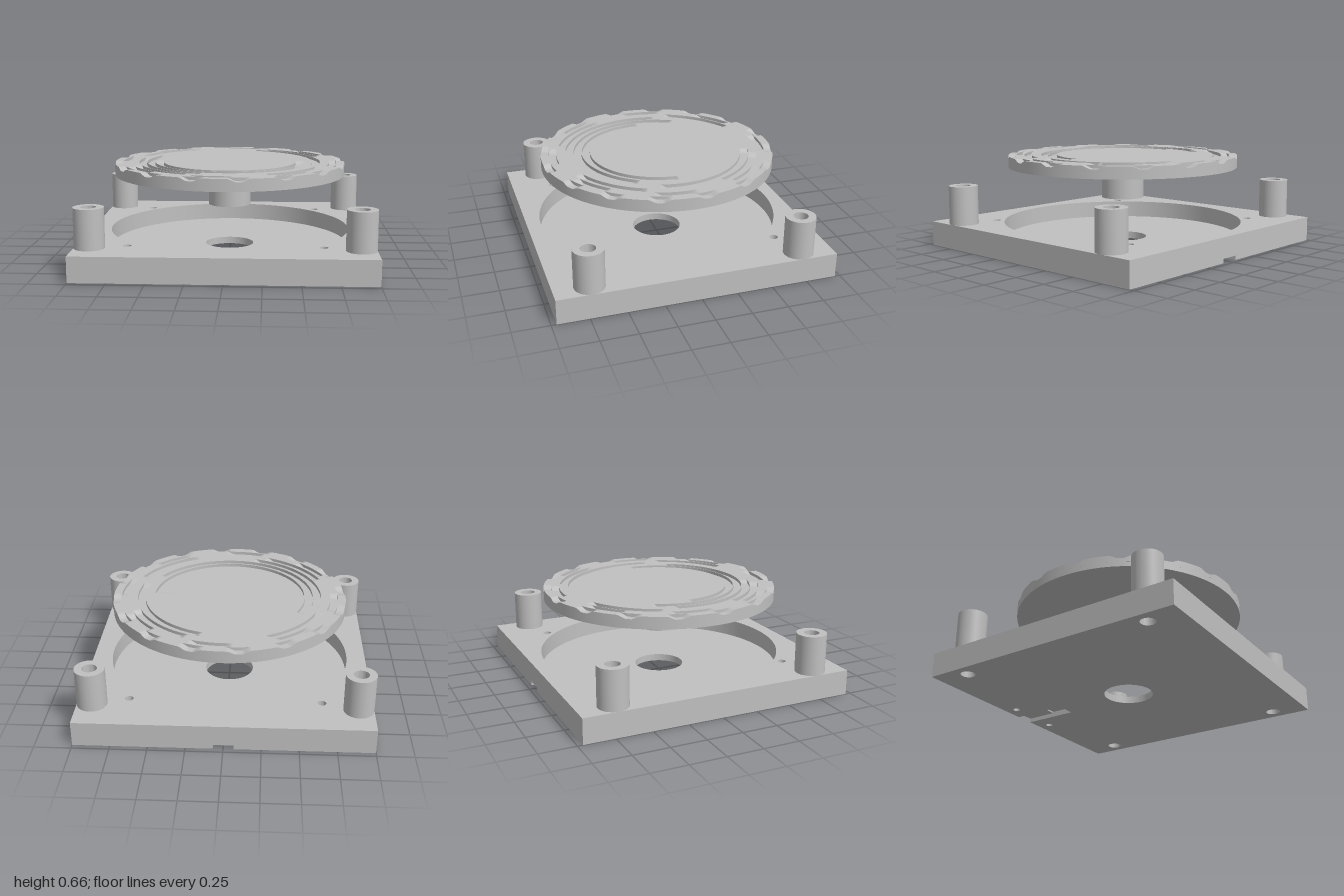
import * as THREE from 'three';
import { toCreasedNormals } from 'three/addons/utils/BufferGeometryUtils.js';

const HALF_Z = 0.965, DISC_R = 0.83, DISC_TOP = 0.66, DISC_MID = 0.612, DISC_BOTTOM = 0.575;
const GROOVE = 0.022, RAMP = 4.5;
const corners = [[1, 1], [1, -1], [-1, 1], [-1, -1]];
const sensorHoles = [[0.2, -0.877, 0.026], [-0.2, -0.877, 0.026]];
const boltHoles = corners.map(([x, z]) => [x * 0.897, z * 0.725, 0.051]);
const pilotHoles = corners.map(([x, z]) => [x * 0.655, z * 0.655, 0.029]);

// Coded tracks: inner radius, outer radius, first groove angle, groove length, groove count
const tracks = [
  [0.48, 0.535, 0, 180, 1],
  [0.54, 0.595, 29, 180, 1],
  [0.60, 0.655, 15 - 90, 90, 2],
  [0.66, 0.715, 22, 45, 4],
  [0.72, 0.772, -4, 22.5, 8],
  [0.778, DISC_R, -80, 11.25, 16],
];

// Extrude an outline (drawn with y = -z) upward from y0 to y1, with round holes [x, z, r]
function slab(shape, y0, y1, holes = []) {
  for (const [x, z, r] of holes) {
    const p = new THREE.Path();
    p.absarc(x, -z, r, 0, Math.PI * 2, true);
    shape.holes.push(p);
  }
  const g = new THREE.ExtrudeGeometry(shape, { depth: y1 - y0, bevelEnabled: false, curveSegments: 64 });
  g.rotateX(-Math.PI / 2).translate(0, y0, 0);
  return toCreasedNormals(g, 0.5);
}

const polygon = (pts) => new THREE.Shape(pts.map(([x, y]) => new THREE.Vector2(x, y)));
const plate = () => polygon([[-1, -HALF_Z], [1, -HALF_Z], [1, HALF_Z], [-1, HALF_Z]]);
const circle = (r) => new THREE.Shape().absarc(0, 0, r, 0, Math.PI * 2, false);

// Height of a track's floor at an angle in degrees, with smooth ramps at the groove ends
function trackHeight([, , start, length, count], deg) {
  const pitch = 360 / count;
  const t = (((deg - start) % pitch) + pitch) % pitch;
  if (t >= length) return DISC_TOP;
  const k = Math.min(1, Math.min(t, length - t) / RAMP);
  return DISC_TOP - GROOVE * k * k * (3 - 2 * k);
}

// Sweep a stepped radial cross-section around the axis
function codedTop() {
  const steps = 480, rows = [], pos = [];
  for (let i = 0; i <= steps; i++) {
    const deg = (i % steps) * 360 / steps, a = deg * Math.PI / 180;
    const profile = [[0, DISC_TOP]];
    for (const track of tracks) {
      const h = trackHeight(track, deg);
      profile.push([track[0], DISC_TOP], [track[0], h], [track[1], h]);
      if (track[1] < DISC_R) profile.push([track[1], DISC_TOP]);
    }
    profile.push([DISC_R, DISC_MID], [0, DISC_MID]);
    rows.push(profile.map(([r, y]) => new THREE.Vector3(r * Math.cos(a), y, r * Math.sin(a))));
  }
  const tri = (a, b, c) => {
    if (a.distanceTo(b) < 1e-6 || b.distanceTo(c) < 1e-6 || a.distanceTo(c) < 1e-6) return;
    for (const v of [a, b, c]) pos.push(v.x, v.y, v.z);
  };
  for (let i = 0; i < steps; i++) {
    for (let j = 0; j < rows[0].length - 1; j++) {
      const a = rows[i][j], b = rows[i][j + 1], c = rows[i + 1][j + 1], d = rows[i + 1][j];
      tri(a, c, b);
      tri(a, d, c);
    }
  }
  const g = new THREE.BufferGeometry();
  g.setAttribute('position', new THREE.Float32BufferAttribute(pos, 3));
  return toCreasedNormals(g, 0.5);
}

export function createModel() {
  const model = new THREE.Group();
  const grey = new THREE.MeshStandardMaterial({ color: 0xc0c0c0 });
  grey.name = 'grey';
  const add = (name, geometry, parent = model) => {
    const m = new THREE.Mesh(geometry, grey);
    m.name = name;
    parent.add(m);
    return m;
  };

  // Base plate in layers: cable slot, sensor recess, floor, and pocket wall
  const base = new THREE.Group();
  base.name = 'base';
  model.add(base);
  const centreHole = [0, 0, 0.175];
  const lowHoles = [centreHole, ...boltHoles, ...sensorHoles];
  const slotted = polygon([[-1, -HALF_Z], [1, -HALF_Z], [1, HALF_Z], [0.068, HALF_Z],
    [0.068, 0.565], [-0.068, 0.565], [-0.068, HALF_Z], [-1, HALF_Z]]);
  add('slottedUnderside', slab(slotted, 0, 0.03, lowHoles), base);
  const recessed = plate();
  recessed.holes.push(new THREE.Path([[-0.068, 0.565], [-0.068, 0.74], [0.068, 0.74], [0.068, 0.565]]
    .map(([x, y]) => new THREE.Vector2(x, y))));
  add('sensorRecess', slab(recessed, 0.03, 0.04, lowHoles), base);
  add('pocketFloor', slab(plate(), 0.04, 0.05, lowHoles), base);
  add('pocketWall', slab(plate(), 0.05, 0.175, [[0, 0, 0.866], ...boltHoles, ...pilotHoles]), base);

  // Hollow corner posts
  corners.forEach(([x, z]) => {
    const post = add('cornerPost', slab(circle(0.103), 0.175, 0.45, [[0, 0, 0.051]]));
    post.position.set(x * 0.897, 0, z * 0.725);
  });

  // Coded disc with a magnet recess underneath, on its shaft
  const disc = new THREE.Group();
  disc.name = 'codedDisc';
  model.add(disc);
  add('codedTop', codedTop(), disc);
  add('discUnderside', slab(circle(DISC_R), DISC_BOTTOM, DISC_MID, [[0, -0.58, 0.053]]), disc);
  const shaft = add('shaft', new THREE.CylinderGeometry(0.153, 0.153, 0.23, 64), disc);
  shaft.position.y = 0.46;

  return model;
}
